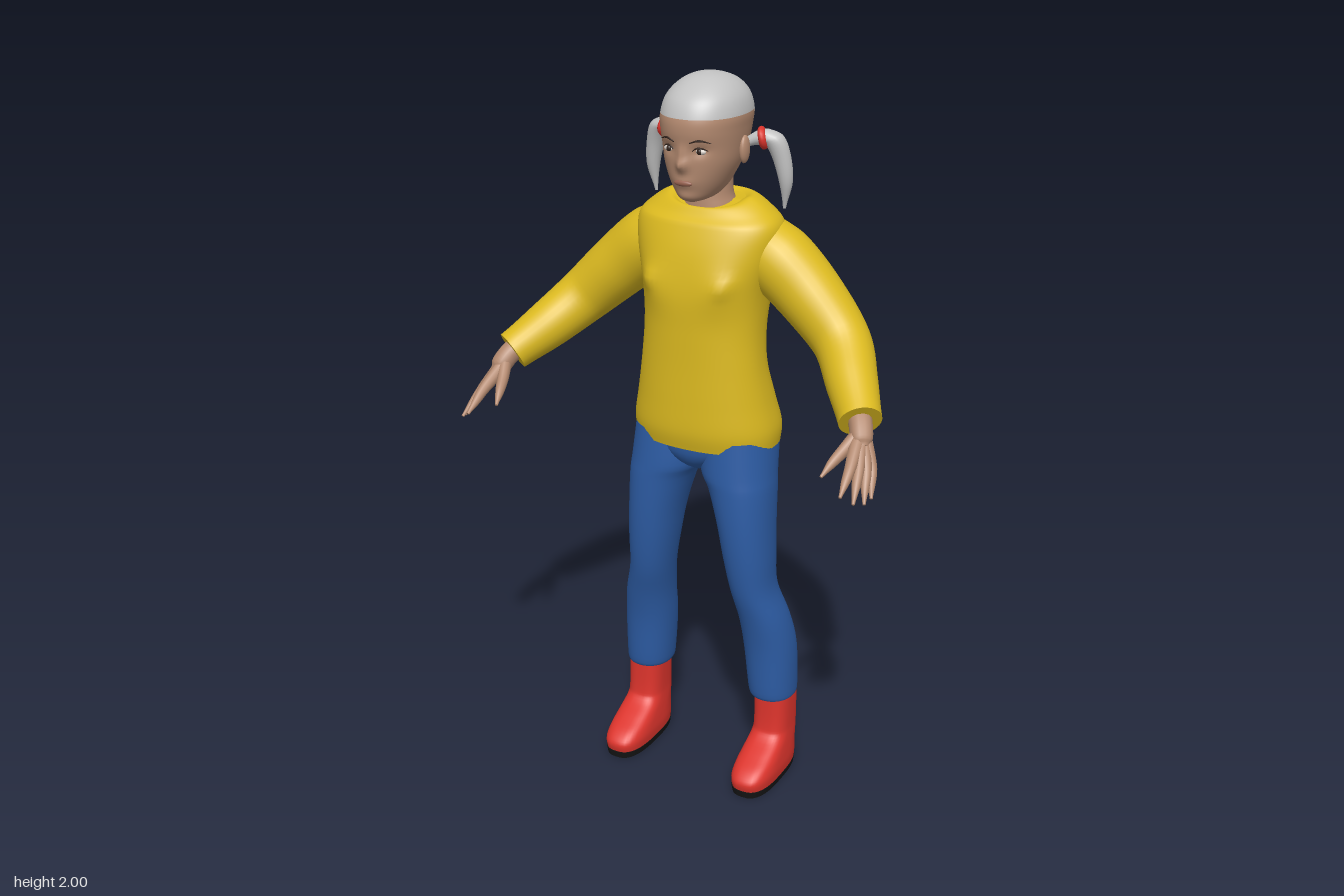
import * as THREE from 'three';

const mat = (name, color) => Object.assign(new THREE.MeshStandardMaterial({ color }), { name });
const M = {
  skin: mat('skin', 0xb48a70), hair: mat('hair', 0xc2c2c2), shirt: mat('yellow shirt', 0xdcba20),
  jeans: mat('blue jeans', 0x2d5ca4), red: mat('red', 0xdc342c), sole: mat('black sole', 0x141414),
  lips: mat('lips', 0x96614f), dark: mat('dark brown', 0x33241d), white: mat('eye white', 0xd8d0c8),
};

// Smooth interpolation between rows of numbers, t from 0 to 1
function sample(rows, t) {
  const n = rows.length, f = t * (n - 1), i = Math.min(Math.floor(f), n - 2), u = f - i;
  const at = k => rows[Math.max(0, Math.min(n - 1, k))];
  return rows[0].map((_, c) => {
    const [a, b, d, e] = [at(i - 1)[c], at(i)[c], at(i + 1)[c], at(i + 2)[c]];
    return b + 0.5 * u * (d - a + u * (2 * a - 5 * b + 4 * d - e + u * (3 * (b - d) + e - a)));
  });
}

// Closed skin over rings of points, with crisp flat ends
function skinRings(rings) {
  const pos = [], idx = [], n = rings[0].length, m = rings.length;
  rings.forEach(r => r.forEach(p => pos.push(p.x, p.y, p.z)));
  for (let i = 0; i < m - 1; i++) for (let j = 0; j < n; j++) {
    const a = i * n + j, b = i * n + (j + 1) % n;
    idx.push(a, a + n, b, b, a + n, b + n);
  }
  [rings[0], rings[m - 1]].forEach((r, end) => {
    const base = pos.length / 3, c = new THREE.Vector3();
    r.forEach(p => { pos.push(p.x, p.y, p.z); c.addScaledVector(p, 1 / n); });
    pos.push(c.x, c.y, c.z);
    for (let j = 0; j < n; j++) {
      const a = base + j, b = base + (j + 1) % n;
      idx.push(...(end ? [a, base + n, b] : [a, b, base + n]));
    }
  });
  const g = new THREE.BufferGeometry();
  g.setAttribute('position', new THREE.Float32BufferAttribute(pos, 3));
  g.setIndex(idx);
  g.computeVertexNormals();
  return g;
}

// Stack of horizontal sections [y, centreX, halfWidth, frontZ, backZ], bottom to top
function loft(rows, { cols = 40, steps = 36, power = 1, rule } = {}) {
  const rings = [];
  for (let i = 0; i <= steps; i++) {
    const [y, cx, rx, zf, zb] = sample(rows, i / steps), ring = [];
    for (let j = 0; j < cols; j++) {
      const a = j / cols * Math.PI * 2, c = Math.cos(a), s = Math.sin(a);
      const p = new THREE.Vector3(
        cx + rx * Math.sign(c) * Math.abs(c) ** power, y,
        (zf + zb) / 2 + (zf - zb) / 2 * Math.sign(s) * Math.abs(s) ** power);
      if (rule) rule(p);
      ring.push(p);
    }
    rings.push(ring);
  }
  return skinRings(rings);
}

// Tapered tube through points [x, y, z, radius]
function taper(pts, cols = 12, steps = 14) {
  const curve = new THREE.CatmullRomCurve3(pts.map(p => new THREE.Vector3(p[0], p[1], p[2])), false, 'catmullrom');
  const frames = curve.computeFrenetFrames(steps * 2), rings = [];
  for (let i = 0; i <= steps; i++) {
    const t = i / steps, r = sample(pts, t)[3], c = curve.getPoint(t);
    const k = Math.round(t * steps * 2), ring = [];
    for (let j = 0; j < cols; j++) {
      const a = j / cols * Math.PI * 2;
      ring.push(c.clone().addScaledVector(frames.normals[k], r * Math.cos(a))
        .addScaledVector(frames.binormals[k], -r * Math.sin(a)));
    }
    rings.push(ring);
  }
  return skinRings(rings);
}

const ball = (x, y, z, rx, ry, rz) => new THREE.SphereGeometry(1, 20, 14).scale(rx, ry, rz).translate(x, y, z);

function mirrored(geo) {
  const g = geo.clone().scale(-1, 1, 1), ix = g.index.array;
  for (let i = 0; i < ix.length; i += 3) [ix[i + 1], ix[i + 2]] = [ix[i + 2], ix[i + 1]];
  g.computeVertexNormals();
  return g;
}

// Split triangles into two material groups by a test on their centre
function paint(geo, test) {
  const p = geo.attributes.position, lists = [[], []], ix = geo.index.array;
  for (let i = 0; i < ix.length; i += 3) {
    const t = [ix[i], ix[i + 1], ix[i + 2]];
    const mid = get => t.reduce((s, v) => s + get(v), 0) / 3;
    lists[test(mid(v => p.getX(v)), mid(v => p.getY(v)), mid(v => p.getZ(v))) ? 1 : 0].push(...t);
  }
  geo.setIndex([...lists[0], ...lists[1]]);
  geo.addGroup(0, lists[0].length, 0);
  geo.addGroup(lists[0].length, lists[1].length, 1);
  return geo;
}

const bell = (v, c, w) => Math.exp(-(((v - c) / w) ** 2));

export function createModel() {
  const model = new THREE.Group();
  model.name = 'girl';
  const add = (name, geo, material) => {
    const m = new THREE.Mesh(geo, material);
    m.name = name;
    model.add(m);
  };
  const pair = (name, geo, material) => {
    add('left ' + name, geo, material);
    add('right ' + name, mirrored(geo), material);
  };

  // Shirt with chest, spine groove and dipped front collar
  add('shirt body', loft([
    [1.02, 0, .203, .035, -.243], [1.07, 0, .205, .045, -.252], [1.15, 0, .189, .045, -.23],
    [1.25, 0, .172, .043, -.203], [1.35, 0, .165, .043, -.215], [1.45, 0, .172, .043, -.245],
    [1.55, 0, .197, .026, -.25], [1.62, 0, .2, .002, -.235], [1.66, 0, .165, -.02, -.217],
    [1.688, 0, .118, -.035, -.2], [1.68, 0, .09, -.045, -.185],
  ], { cols: 72, steps: 60, power: .88, rule: p => {
    if (p.z < -.12) p.z += .035 * bell(p.x, 0, .025) * bell(p.y, 1.03, .07) + .02 * bell(p.x, 0, .045) * bell(p.y, 1.42, .2);
    else if (p.z > -.06) {
      const d = bell(Math.abs(p.x), .11, .022) * bell(p.y, 1.48, .022);
      p.z += .012 * d + .012 * bell(Math.abs(p.x), .1, .05) * bell(p.y, 1.47, .06);
    }
    if (p.y > 1.63) p.y -= .025 * Math.max(0, (p.z + .11) / .08) * (p.y - 1.63) / .06;
  } }), M.shirt);
  pair('sleeve', taper([[.13, 1.56, -.135, .088], [.19, 1.525, -.135, .094], [.285, 1.445, -.128, .087],
    [.385, 1.35, -.1, .076], [.455, 1.277, -.015, .066], [.516, 1.218, .068, .055]], 28, 32), M.shirt);

  // Hands: wrist, four fingers spreading from the palm, thumb
  pair('wrist', taper([[.495, 1.24, .04, .032], [.52, 1.214, .075, .03], [.535, 1.185, .1, .028], [.545, 1.17, .115, .015]]), M.skin);
  const fingers = {
    'index finger': [[.528, 1.18, .11], [.54, 1.14, .175], [.546, 1.09, .247]],
    'middle finger': [[.533, 1.178, .105], [.555, 1.132, .16], [.575, 1.072, .232]],
    'ring finger': [[.538, 1.176, .1], [.567, 1.126, .142], [.59, 1.062, .2]],
    'little finger': [[.542, 1.176, .095], [.573, 1.124, .122], [.595, 1.066, .168]],
  };
  for (const [name, [a, b, c]] of Object.entries(fingers)) {
    const mid = b.map((v, i) => (v + c[i]) / 2);
    pair(name, taper([[...a, .02], [...b, .015], [...mid, .011], [...c, .004]], 10), M.skin);
  }
  pair('thumb', taper([[.525, 1.2, .09, .018], [.505, 1.165, .135, .016], [.49, 1.14, .175, .012], [.478, 1.115, .21, .004]], 10), M.skin);

  // Jeans
  pair('trouser leg', loft([
    [.245, .202, .063, -.06, -.204], [.27, .2, .067, -.053, -.207], [.4, .193, .072, -.043, -.202],
    [.5, .182, .068, -.024, -.18], [.6, .16, .061, .002, -.155], [.7, .149, .068, .018, -.157],
    [.8, .138, .076, .026, -.167], [.9, .122, .09, .028, -.182], [.95, .107, .101, .027, -.195], [1.05, .1, .1, .02, -.228],
  ], { power: .93 }), M.jeans);
  add('trouser seat', loft([[.935, 0, .02, -.04, -.11], [.96, 0, .07, .0, -.15], [1.0, 0, .15, .022, -.19],
    [1.06, 0, .185, .025, -.2]], { steps: 12 }), M.jeans);

  // Boots
  pair('boot', loft([
    [.018, .208, .06, .074, -.2], [.045, .208, .062, .076, -.2], [.07, .208, .06, .05, -.2],
    [.095, .208, .057, .0, -.199], [.125, .208, .054, -.055, -.199], [.16, .208, .053, -.068, -.199], [.265, .207, .054, -.072, -.199],
  ], { power: .72, steps: 28 }), M.red);
  pair('sole', loft([[0, .208, .058, .074, -.2], [.02, .208, .061, .077, -.202]], { power: .72, steps: 2 }), M.sole);

  // Neck and head, with the scalp painted as hair
  add('neck', loft([[1.6, 0, .085, -.04, -.19], [1.66, 0, .072, -.043, -.178], [1.7, 0, .06, -.045, -.168],
    [1.78, 0, .06, -.05, -.165]], { steps: 12 }), M.skin);
  const headRows = [
    [1.688, 0, .015, .0, -.05], [1.698, 0, .042, .018, -.11], [1.72, 0, .062, .028, -.148], [1.75, 0, .078, .036, -.17],
    [1.79, 0, .094, .04, -.195], [1.83, 0, .102, .042, -.213], [1.87, 0, .107, .049, -.226], [1.905, 0, .109, .046, -.23],
    [1.945, 0, .098, .027, -.217], [1.975, 0, .073, -.01, -.187], [1.993, 0, .04, -.05, -.143], [2, 0, .003, -.09, -.1],
  ];
  add('head', paint(loft(headRows, { cols: 72, steps: 66, power: .93, rule: p => {
    if (p.z < -.04) return;
    p.z += .02 * bell(p.x, 0, .014) * bell(p.y, 1.79, .017) + .009 * bell(p.x, 0, .011) * bell(p.y, 1.82, .02)
      + .005 * bell(p.x, 0, .025) * bell(p.y, 1.745, .014) + .005 * bell(p.x, 0, .03) * bell(p.y, 1.705, .014)
      - .007 * bell(Math.abs(p.x), .045, .018) * bell(p.y, 1.826, .013);
  } }), (x, y, z) => y > 1.905 || (y > 1.73 && z < -.158)), [M.skin, M.hair]);
  pair('ear', ball(.105, 1.815, -.092, .012, .036, .021).rotateY(0), M.skin);

  // Eyes, brows and mouth
  pair('eye', ball(.044, 1.826, .026, .015, .008, .008), M.white);
  pair('iris', ball(.043, 1.826, .031, .007, .0075, .005), M.dark);
  pair('upper lash', taper([[.026, 1.827, .037, .001], [.037, 1.835, .036, .0022], [.05, 1.835, .031, .0022], [.062, 1.828, .02, .001]], 6, 8), M.dark);
  pair('brow', taper([[.022, 1.848, .044, .0015], [.045, 1.855, .037, .003], [.07, 1.847, .018, .001]], 6, 8), M.dark);
  add('mouth', ball(0, 1.744, .037, .026, .008, .007), M.lips);

  // Pigtails and their hair bands
  pair('pigtail', taper([[.1, 1.828, -.115, .012], [.135, 1.842, -.127, .02], [.163, 1.838, -.137, .026], [.182, 1.795, -.146, .024],
    [.193, 1.73, -.152, .018], [.188, 1.658, -.158, .004]], 18, 28), M.hair);
  const band = new THREE.TorusGeometry(.02, .01, 10, 24);
  band.applyQuaternion(new THREE.Quaternion().setFromUnitVectors(new THREE.Vector3(0, 0, 1),
    new THREE.Vector3(.9, .2, -.35).normalize()));
  pair('hair band', band.translate(.138, 1.84, -.128), M.red);

  return model;
}
